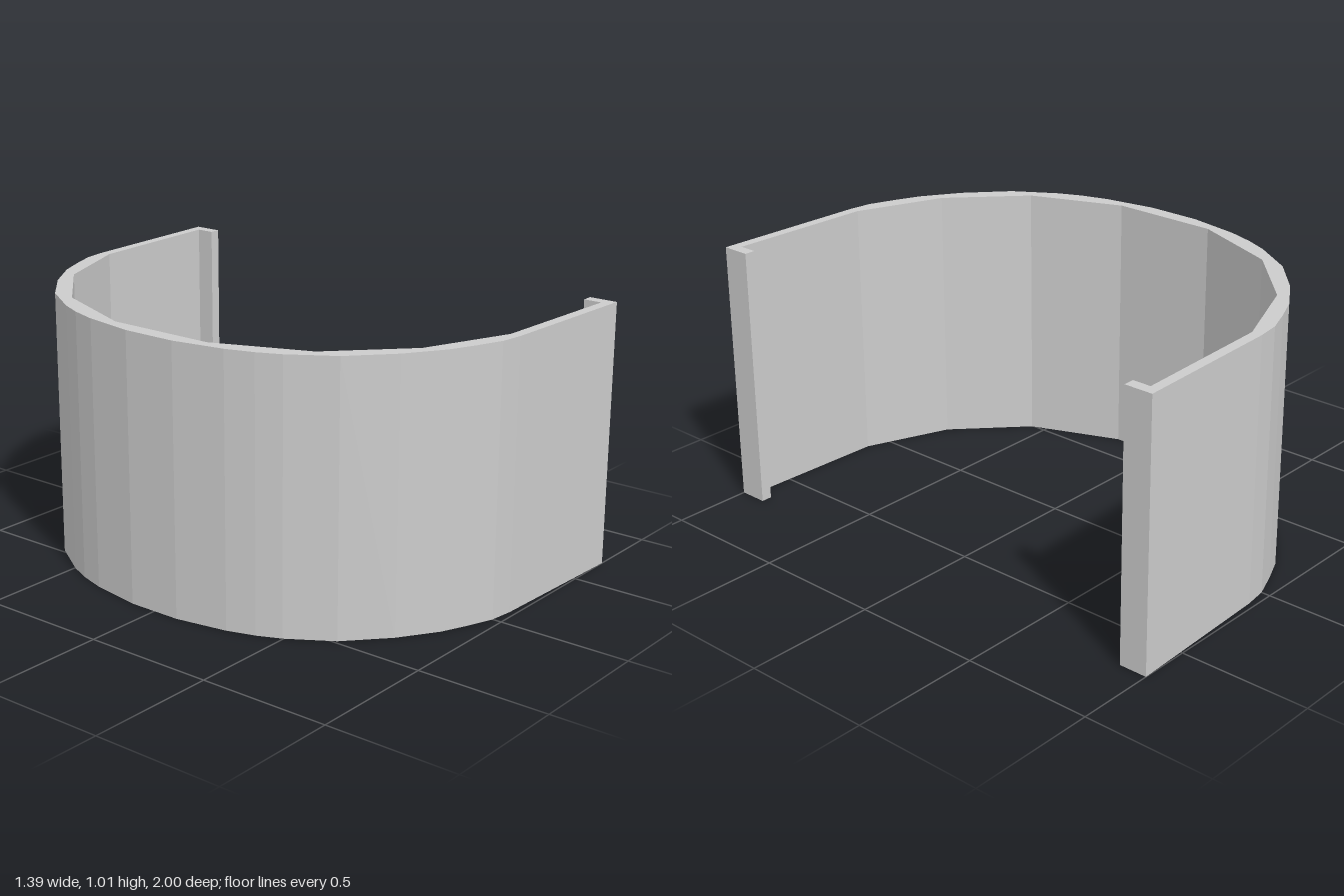
import * as THREE from 'three';

export function createModel() {
  const group = new THREE.Group();
  const height = 1.01;

  // Half of the plan, [x, depth]: from the lip tip, round the outside to the middle of the back
  const outer = [
    [0.694, 0.89], [0.694, 1], [0.09, 0.977], [0, 0.965], [-0.1, 0.927], [-0.2, 0.883],
    [-0.34, 0.79], [-0.487, 0.655], [-0.588, 0.497], [-0.627, 0.41], [-0.66, 0.305], [-0.694, 0.105],
  ];
  // Half of the inner face, from the back to the lip
  const inner = [
    [-0.635, 0.21], [-0.495, 0.56], [-0.24, 0.805], [0.09, 0.937], [0.652, 0.96], [0.652, 0.89],
  ];
  const mirror = (pts) => pts.map(([x, d]) => [x, -d]).reverse();

  // Closed plan: round the outside to the far lip, then back along the inside
  const plan = [...outer, ...mirror(outer), ...mirror(inner), ...inner];
  const shape = new THREE.Shape(plan.map(([x, d]) => new THREE.Vector2(x, d)));

  const geometry = new THREE.ExtrudeGeometry(shape, { depth: height, bevelEnabled: false });
  geometry.rotateX(-Math.PI / 2);

  // Curved band with two inward lips
  const band = new THREE.Mesh(
    geometry,
    new THREE.MeshStandardMaterial({ color: 0xcccccc, flatShading: true })
  );
  band.name = 'curvedBand';
  group.add(band);
  return group;
}
